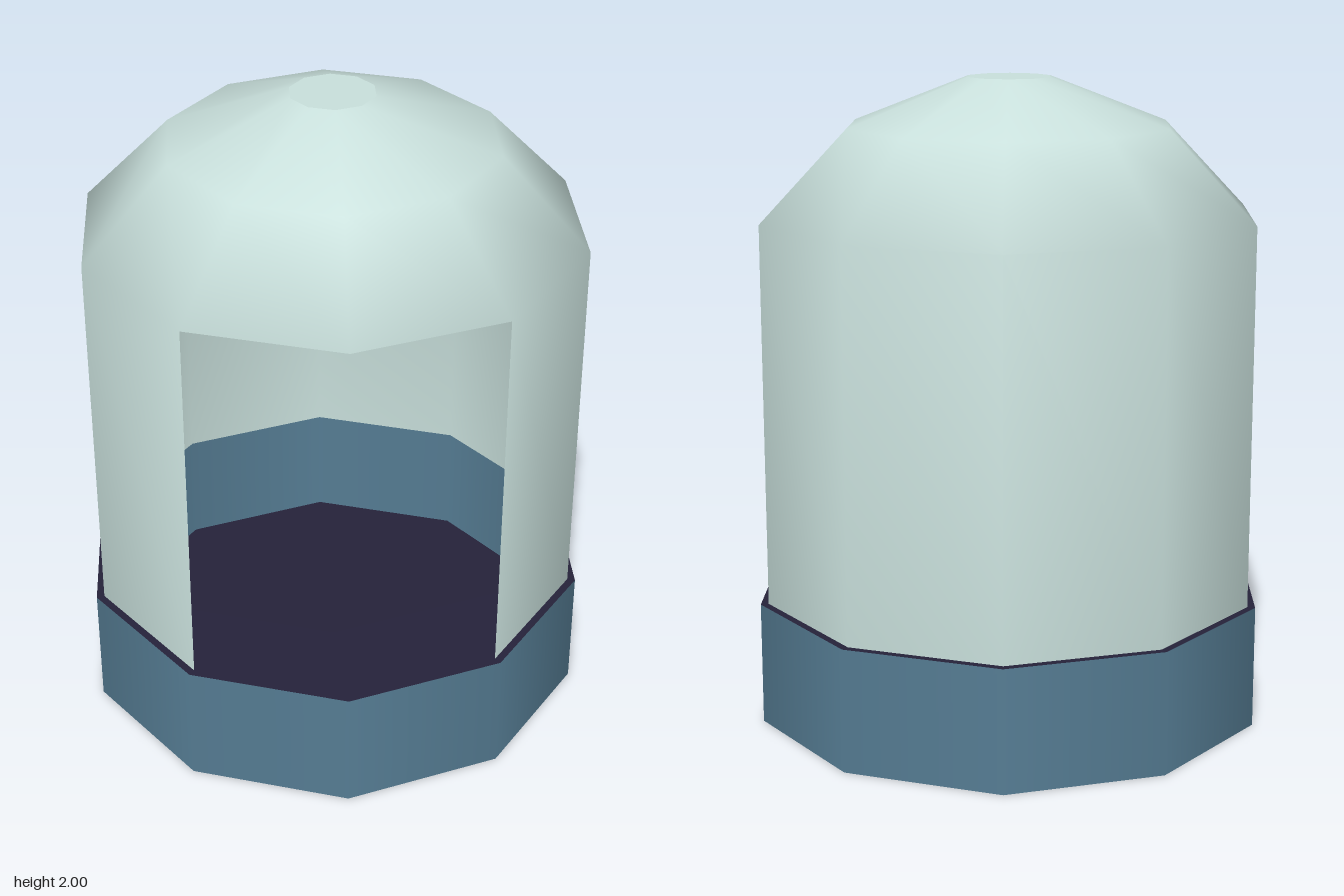
import * as THREE from 'three';

const SIDES = 10;
const deg = THREE.MathUtils.degToRad;

export function createModel() {
  const model = new THREE.Group();
  model.name = 'domedPod';

  const shellMat = new THREE.MeshStandardMaterial({ name: 'pale shell', color: 0xc8dfdb, side: THREE.DoubleSide });
  const baseMat = new THREE.MeshStandardMaterial({ name: 'steel blue', color: 0x557c93 });
  const darkMat = new THREE.MeshStandardMaterial({ name: 'dark trim', color: 0x25223a });

  const add = (name, geometry, material, y = 0) => {
    const mesh = new THREE.Mesh(geometry, material);
    mesh.name = name;
    mesh.position.y = y;
    model.add(mesh);
    return mesh;
  };

  const baseTop = 0.385, outer = 0.808, inner = 0.783;
  const floorY = 0.012;

  // Shell: ten-sided wall and dome, smooth shaded
  const profile = [[inner, baseTop], [inner, 1.575], [0.512, 1.853], [0.132, 2]]
    .map(([r, y]) => new THREE.Vector2(r, y));
  const shell = new THREE.LatheGeometry(profile, SIDES, deg(54));

  // Doorway: leave out the wall quads of the last two sides
  const perSide = (profile.length - 1) * 6;
  shell.setIndex([...shell.index.array].filter((_, k) => {
    const side = Math.floor(k / perSide);
    return !(side >= SIDES - 2 && k % perSide < 6);
  }));
  add('shell', shell, shellMat);

  // Flat cap on the dome
  const flat = (geometry, up = true) => geometry.rotateX(up ? -Math.PI / 2 : Math.PI / 2);
  add('domeCap', flat(new THREE.CircleGeometry(0.132, SIDES)), shellMat, 2);

  // Base cup: outer and inner bands
  const band = (r, y0, y1) =>
    new THREE.CylinderGeometry(r, r, y1 - y0, SIDES, 1, true, Math.PI / 2).translate(0, (y0 + y1) / 2, 0);
  add('baseOuterBand', band(outer, 0, baseTop), baseMat);
  const innerBand = band(inner, floorY, baseTop);
  innerBand.setIndex([...innerBand.index.array].reverse());
  const normals = innerBand.attributes.normal;
  for (let i = 0; i < normals.count; i++) normals.setXYZ(i, -normals.getX(i), 0, -normals.getZ(i));
  add('baseInnerBand', innerBand, baseMat);

  // Dark rim, floor and underside
  add('baseRim', flat(new THREE.RingGeometry(inner, outer, SIDES)), darkMat, baseTop);
  add('floor', flat(new THREE.CircleGeometry(inner, SIDES)), darkMat, floorY);
  add('underside', flat(new THREE.CircleGeometry(outer, SIDES), false), darkMat, 0);

  return model;
}
